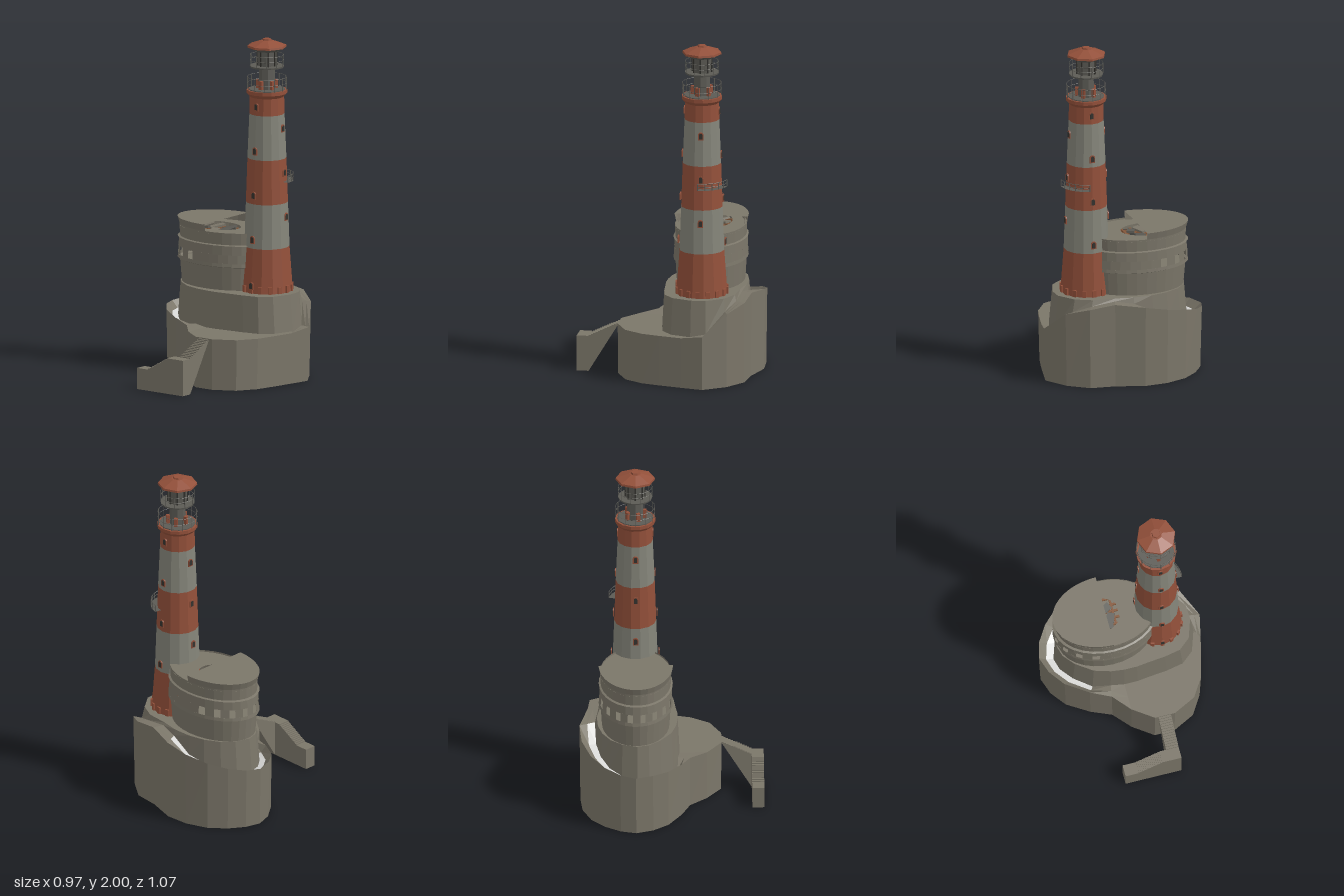
import * as THREE from 'three';

const mat = (name, color, flatShading = true) => {
  const m = new THREE.MeshStandardMaterial({ color, flatShading, side: THREE.DoubleSide });
  m.name = name;
  return m;
};

export function createModel() {
  const stone = mat('stone', 0x7b7669);
  const brick = mat('brickRed', 0x93503a);
  const pale = mat('paleStripe', 0x85857a);
  const metal = mat('metal', 0x5c5b55);
  const dark = mat('darkOpening', 0x34332f);
  const walk = mat('whiteWalkway', 0xd6d6d4);
  const timber = mat('timber', 0x85593c);

  const root = new THREE.Group();
  const add = (name, geo, material, parent = root) => {
    const m = new THREE.Mesh(geo, material);
    m.name = name;
    parent.add(m);
    return m;
  };
  const group = (name, x = 0, y = 0, z = 0) => {
    const g = new THREE.Group();
    g.name = name;
    g.position.set(x, y, z);
    root.add(g);
    return g;
  };
  const box = (name, w, h, d, x, y, z, material, parent) => {
    const m = add(name, new THREE.BoxGeometry(w, h, d), material, parent);
    m.position.set(x, y, z);
    return m;
  };

  // Rock base: outer x, outer z, rim height, inner x, inner z
  const plan = [
    [-.485, -.22, .36, -.40, -.21], [-.46, -.31, .37, -.37, -.30], [-.40, -.40, .39, -.31, -.37],
    [-.31, -.48, .42, -.22, -.42], [-.18, -.53, .45, -.12, -.445], [-.04, -.54, .48, 0, -.45],
    [.13, -.49, .50, .11, -.43], [.28, -.475, .48, .25, -.42], [.40, -.39, .44, .35, -.37],
    [.488, -.26, .32, .425, -.27], [.46, -.13, .30, .43, -.18], [.43, 0, .30, .39, -.06],
    [.40, .11, .30, .32, 0], [.33, .22, .30, .22, .02], [.20, .285, .30, .12, .03],
    [.08, .285, .30, .04, .04], [-.04, .20, .30, -.04, .04], [-.13, .10, .31, -.12, .03],
    [-.25, .05, .33, -.22, 0], [-.38, -.03, .35, -.32, -.07], [-.45, -.12, .36, -.38, -.14],
  ];
  const n = plan.length;
  const walled = i => i < 5 || i > 17;
  const ring = f => plan.map((p, i) => new THREE.Vector3(...f(p, i)));
  const inward = (p, y, s) => [p[3] * s, y, -.21 + (p[4] + .21) * s];
  const foot = ring(p => [p[0] * .98, 0, p[1] * .99]);
  const rim = ring(p => [p[0], p[2], p[1]]);
  const floorY = (p, i) => walled(i) ? p[2] - .04 : p[2];
  const path = ring((p, i) => [(p[0] + p[3]) / 2, floorY(p, i), (p[1] + p[4]) / 2]);
  const inner = ring((p, i) => inward(p, walled(i) ? p[2] - .05 : p[2], 1));
  const crown = ring(p => inward(p, .515, .955));
  const peak = ring(() => [.02, .515, -.21]);
  const loft = (lo, hi, keep = () => true) => {
    const pts = [];
    for (let i = 0; i < n; i++) {
      const j = (i + 1) % n;
      if (keep(i)) pts.push(lo[j], lo[i], hi[i], lo[j], hi[i], hi[j]);
    }
    const g = new THREE.BufferGeometry().setFromPoints(pts);
    g.computeVertexNormals();
    return g;
  };
  add('rockWall', loft(foot, rim), stone);
  add('rockLedge', loft(rim, path), stone);
  add('terrace', loft(path, inner, i => !walled(i)), stone);
  add('walkway', loft(path, inner, walled), walk);
  add('upperRock', loft(inner, crown), stone);
  add('upperPlatform', loft(crown, peak), stone);

  // Stairs: stepped side profiles pushed to width
  const stairProfile = (u0, y0, u1, y1, steps, rest) => {
    const s = new THREE.Shape();
    s.moveTo(u0, y0);
    for (let i = 1; i <= steps; i++) {
      const u = u0 + (u1 - u0) * i / steps;
      s.lineTo(u, y0 + (y1 - y0) * (i - 1) / steps);
      s.lineTo(u, y0 + (y1 - y0) * i / steps);
    }
    rest.forEach(p => s.lineTo(...p));
    return s;
  };
  const extrude = (s, depth) => new THREE.ExtrudeGeometry(s, { depth, bevelEnabled: false });
  const upper = extrude(stairProfile(.27, .30, .46, .21, 14, [[.53, .21], [.53, 0], [.46, 0], [.29, .28]]), .075);
  upper.rotateY(-Math.PI / 2).translate(.175, 0, 0);
  add('upperStair', upper, stone);
  const lower = extrude(stairProfile(.07, .21, -.08, .125, 14, [[-.16, .125], [-.16, 0], [.1, 0], [.1, .21]]), .07);
  lower.translate(0, 0, .46);
  add('lowerStair', lower, stone);

  // Oval keep beside the tower
  const keep = group('ovalKeep', -.09, 0, -.215);
  const deg = Math.PI / 180;
  const oval = (name, y0, r0, y1, r1, from = 0, sweep = 360, material = stone) => {
    const g = new THREE.CylinderGeometry(r1, r0, y1 - y0, Math.max(1, Math.round(sweep / 12)), 1, true, from * deg, sweep * deg);
    g.scale(.31, 1, .215).translate(0, (y0 + y1) / 2, 0);
    return add(name, g, material, keep);
  };
  oval('keepFoot', .515, .91, .65, .95);
  oval('lowerLedge', .65, .95, .655, 1);
  oval('wallBelowWindows', .655, 1, .675, .99);
  for (let a = -160; a <= -40; a += 20) oval('windowPier', .675, .99, .725, .98, a + 4, 12);
  oval('plainWall', .675, .99, .725, .98, -16, 212);
  oval('wallAboveWindows', .725, .98, .78, .97);
  oval('upperLedge', .78, 1, .785, .94);
  oval('upperWall', .785, .95, .855, .96);
  oval('parapet', .855, .96, .895, 1, 180, 180);
  oval('parapetInside', .80, .88, .895, .92, 180, 180);
  const flat = (name, r, hole, y, from = 0, to = 360, cx = 0, material = stone) => {
    const s = new THREE.Shape();
    s.absellipse(0, 0, .31 * r, .215 * r, from * deg, to * deg, false, 0);
    if (hole) {
      const h = new THREE.Path();
      h.absellipse(cx, 0, .31 * hole, .215 * hole, from * deg, to * deg, true, 0);
      if (to - from === 360) s.holes.push(h);
      else h.getPoints(24).forEach(p => s.lineTo(p.x, p.y));
    }
    const g = new THREE.ShapeGeometry(s, 24).rotateX(-Math.PI / 2).translate(0, y, 0);
    add(name, g, material, keep);
  };
  flat('parapetTop', 1, .92, .895, 90, 270);
  flat('keepRoof', .96, .52, .845, 0, 360, -.07);
  flat('keepFloor', .93, 0, .645);

  // Broken roof: timber grid with fallen slabs
  for (let i = 0; i < 6; i++) {
    box('joist', .012, .012, .24, -.20 + i * .05, .815, 0, timber, keep);
    box('crossBeam', .31, .012, .012, -.075, .81, -.10 + i * .04, timber, keep);
  }
  const slabs = [[-.15, .03, .3], [-.10, -.05, 1], [0, -.03, .5], [-.04, .05, 2], [.02, .04, 1.2], [-.17, -.04, .7]];
  slabs.forEach(([x, z, a], i) => {
    const m = box('fallenSlab', .09, .012, .045, x, .83, z, i % 2 ? stone : metal, keep);
    m.rotation.set(.2 * (i % 3 - 1), a, .15);
  });

  // Banded tower
  const tower = group('tower', .215, 0, -.213);
  const drum = (name, y0, r0, y1, r1, material, sides = 14, open = false) => {
    const g = new THREE.CylinderGeometry(r1, r0, y1 - y0, sides, 1, open);
    g.translate(0, (y0 + y1) / 2, 0);
    return add(name, g, material, tower);
  };
  [.15, .131, .122, .113, .102].forEach((r, i, all) => {
    if (i < 4) drum('towerBand', .515 + i * .261, r, .776 + i * .261, all[i + 1], i % 2 ? pale : brick);
  });
  drum('topBand', 1.559, .102, 1.66, .1, brick);
  drum('cornice', 1.66, .1, 1.68, .118, brick);
  drum('galleryFloor', 1.68, .118, 1.70, .118, brick);
  const around = (count, r, f) => {
    for (let i = 0; i < count; i++) {
      const a = i / count * Math.PI * 2;
      f(Math.sin(a) * r, Math.cos(a) * r, a);
    }
  };
  around(16, .147, (x, z, a) => {
    box('baseTooth', .022, .04, .016, x, .535, z, brick, tower).rotation.y = a;
  });

  // Arched openings, facing outward at angle a
  const opening = (y, a) => {
    const g = new THREE.Group();
    g.name = 'towerWindow';
    const r = .149 - (y - .52) * .046;
    g.position.set(Math.sin(a) * r, y, Math.cos(a) * r);
    g.rotation.y = a;
    tower.add(g);
    const arch = (w, h) => {
      const s = new THREE.Shape();
      s.moveTo(-w, -h).lineTo(w, -h).lineTo(w, h - w).absarc(0, h - w, w, 0, Math.PI);
      return extrude(s, .006);
    };
    add('windowFrame', arch(.016, .023), brick, g);
    add('windowPane', arch(.010, .017).translate(0, 0, .002), dark, g);
  };
  [.56, .83, 1.09, 1.35, 1.61].forEach(y => opening(y, 0));
  [.96, 1.22, 1.48].forEach(y => opening(y, Math.PI / 2 + .1));
  [.83, 1.09, 1.35, 1.61].forEach(y => opening(y, Math.PI));
  [.96, 1.22, 1.48].forEach(y => opening(y, -Math.PI / 2));

  // Small side balcony
  const balcony = new THREE.Group();
  balcony.name = 'sideBalcony';
  tower.add(balcony);
  const arcRing = (r0, r1, y) => new THREE.RingGeometry(r0, r1, 8, 1, 0, 1.4).rotateX(-Math.PI / 2).translate(0, y, 0);
  add('balconyFloor', arcRing(.105, .155, 1.165), metal, balcony);
  for (const y of [1.185, 1.205]) {
    const t = new THREE.TorusGeometry(.153, .002, 4, 10, 1.4).rotateX(-Math.PI / 2).translate(0, y, 0);
    add('balconyRail', t, metal, balcony);
  }
  for (let i = 0; i < 6; i++) {
    const a = i * .28;
    box('balconyPost', .004, .04, .004, Math.cos(a) * .153, 1.185, -Math.sin(a) * .153, metal, balcony);
  }

  // Lantern and galleries
  drum('lanternDeck', 1.70, .105, 1.705, .105, metal);
  drum('lanternBase', 1.705, .05, 1.83, .045, metal, 8);
  drum('upperDeck', 1.832, .098, 1.842, .1, metal, 14);
  drum('lanternRoom', 1.842, .055, 1.93, .058, metal, 8);
  around(8, .057, (x, z, a) => {
    box('lanternMullion', .008, .09, .008, x, 1.887, z, dark, tower).rotation.y = a;
  });
  around(5, .055, (x, z, a) => {
    box('lanternButtress', .02, .05, .02, x, 1.73, z, brick, tower).rotation.y = a;
  });
  const rail = (r, y) => add('galleryRail', new THREE.TorusGeometry(r, .0015, 4, 24).rotateX(Math.PI / 2).translate(0, y, 0), metal, tower);
  [[.114, 1.74], [.114, 1.775], [.098, 1.875], [.098, 1.905]].forEach(p => rail(...p));
  around(12, .114, (x, z) => box('galleryPost', .003, .075, .003, x, 1.738, z, metal, tower));
  around(10, .098, (x, z) => box('upperPost', .003, .063, .003, x, 1.874, z, metal, tower));
  drum('roofEaves', 1.93, .075, 1.95, .115, metal, 8);
  drum('roofEdge', 1.95, .115, 1.962, .113, brick, 8);
  drum('roof', 1.962, .113, 1.99, .035, brick, 8);
  drum('roofCap', 1.988, .028, 2, .024, brick, 6);
  return root;
}
